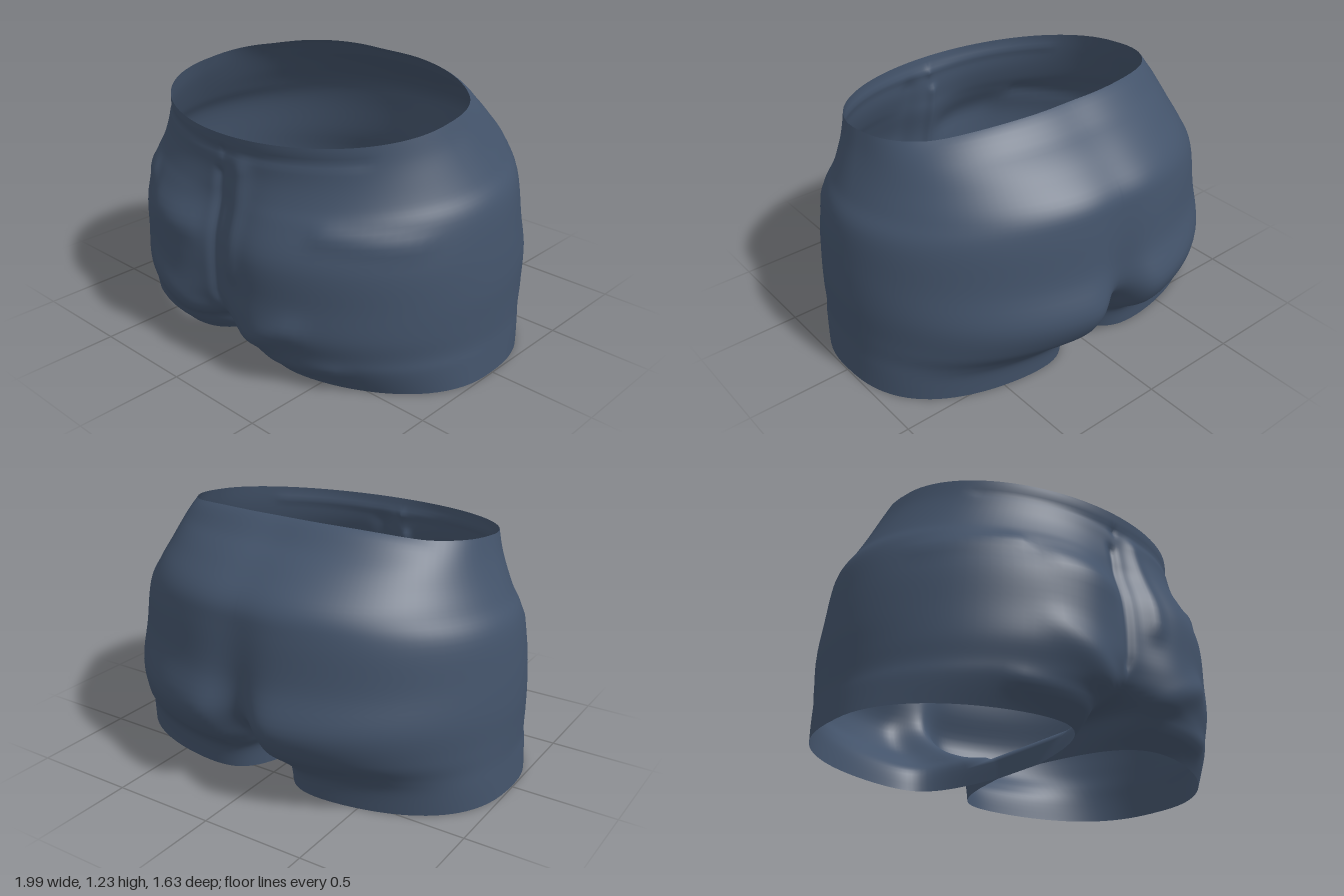
import * as THREE from 'three';
import { mergeGeometries, mergeVertices } from 'three/addons/utils/BufferGeometryUtils.js';

// Body levels: height, half width, centre z, front z, back z, centre-seam front z, centre-seam back z
const LEVELS = [
  [1.155, 0.76, 0.13, 0.69, -0.40, 0.69, -0.39],
  [1.07, 0.79, 0.10, 0.69, -0.52, 0.68, -0.51],
  [0.98, 0.83, 0.07, 0.70, -0.635, 0.68, -0.625],
  [0.88, 0.88, 0.03, 0.73, -0.745, 0.69, -0.73],
  [0.78, 0.935, 0.00, 0.77, -0.775, 0.70, -0.755],
  [0.60, 0.965, 0.00, 0.83, -0.80, 0.74, -0.76],
  [0.42, 0.98, 0.00, 0.83, -0.85, 0.75, -0.74],
  [0.28, 0.98, 0.00, 0.83, -0.785, 0.73, -0.60],
  [0.18, 0.98, 0.00, 0.79, -0.67, 0.64, -0.40],
  [0.11, 0.985, 0.02, 0.75, -0.61, 0.34, -0.18],
  [0.00, 0.995, 0.04, 0.66, -0.59, 0.15, -0.12],
];
const SEGMENTS = LEVELS.length - 1;
const CROTCH = (SEGMENTS - 1) / SEGMENTS;

// Cloth folds on the front: start x,y, end x,y, width, height
const FOLDS = [
  [0.08, 0.10, 0.45, 0.30, 0.06, 0.02],
  [-0.08, 0.14, -0.42, 0.34, 0.07, 0.015],
  [0.10, 0.06, 0.60, 0.10, 0.04, 0.015],
  [-0.12, 0.06, -0.55, 0.10, 0.04, 0.015],
  [0.55, 0.74, 0.85, 0.70, 0.04, 0.018],
  [-0.55, 0.74, -0.85, 0.70, 0.04, 0.018],
  [0.12, 0.92, 0.14, 0.50, 0.05, 0.02],
  [-0.02, 0.88, -0.01, 0.30, 0.025, -0.02],
  [-0.15, 0.62, -0.40, 0.66, 0.07, 0.015],
  [-0.62, 1.03, 0, 0.99, 0.022, -0.008],
  [0, 0.99, 0.62, 1.03, 0.022, -0.008],
];

const mix = THREE.MathUtils.lerp;
const smooth = THREE.MathUtils.smoothstep;

// Smooth curve through the levels
function level(v) {
  const f = v * SEGMENTS, i = Math.min(Math.floor(f), SEGMENTS - 1), t = f - i;
  const row = (k) => LEVELS[Math.max(0, Math.min(SEGMENTS, k))];
  return LEVELS[0].map((_, n) => {
    const a = row(i - 1)[n], b = row(i)[n], c = row(i + 1)[n], d = row(i + 2)[n];
    return b + 0.5 * t * (c - a + t * (2 * a - 5 * b + 4 * c - d + t * (3 * (b - c) + d - a)));
  });
}

function foldHeight(x, y) {
  let sum = 0;
  for (const [ax, ay, bx, by, width, height] of FOLDS) {
    const dx = bx - ax, dy = by - ay;
    const t = THREE.MathUtils.clamp(((x - ax) * dx + (y - ay) * dy) / (dx * dx + dy * dy), 0, 1);
    const d = Math.hypot(x - ax - t * dx, y - ay - t * dy) / width;
    sum += height * Math.exp(-d * d);
  }
  return sum;
}

// One half of the shorts, from the front seam around the hip to the back seam
function outerPoint(u, v, side) {
  const [h, width, mid, front, back, seamFront, seamBack] = level(v);
  const angle = Math.PI * u - 0.35 * Math.sin(2 * Math.PI * u);
  const c = Math.cos(angle);
  const isFront = c > 0;
  const reach = isFront ? front : back;
  const seam = isFront ? seamFront : seamBack;

  // The back is squarer at the waist and at the leg hems
  const low = smooth(v, 0.6, 0.95);
  const squareX = mix(1, isFront ? 0.95 : 0.75, low);
  const squareZ = isFront ? mix(1, 0.95, low) : mix(0.72, 1, smooth(v, 0, 0.35)) - 0.25 * low;
  const gap = 0.002 * smooth(v, CROTCH, 1);
  const x = Math.max(width * Math.pow(Math.max(0, Math.sin(angle)), squareX), gap);

  // The centre seam pulls in, sharpening towards the crotch
  const spread = isFront ? mix(0.2, 0.1, low) : mix(0.13, 0.07, smooth(v, 0.4, 0.95));
  const pull = Math.exp(-Math.pow(x / spread, mix(2, 1, low)));
  let z = mid + (reach - mid) * Math.pow(Math.abs(c), squareZ) + (seam - reach) * pull;

  // The waist rises towards the back
  const lift = -0.12 * z * smooth(h, 0.55, 1.12) + 0.03 * smooth(-z, 0.2, 0.42) * smooth(h, 1.07, 1.155);
  const y = Math.max(0, h + lift);
  if (isFront) z += foldHeight(side * x, y) * Math.min(1, 2 * c);
  return [side * x, y, z];
}

// Short inner thigh wall closing each leg below the crotch
function innerPoint(u, v, side) {
  const w = mix(CROTCH, 1, v);
  const a = outerPoint(1, w, side), b = outerPoint(0, w, side);
  return a.map((n, i) => mix(n, b[i], u));
}

function sheet(nu, nv, side, point) {
  const positions = [], index = [];
  for (let j = 0; j <= nv; j++) {
    for (let i = 0; i <= nu; i++) {
      positions.push(...point(i / nu, j / nv, side));
      if (i === nu || j === nv) continue;
      const a = j * (nu + 1) + i, b = a + nu + 1;
      if (side > 0) index.push(a, b, a + 1, a + 1, b, b + 1);
      else index.push(a, a + 1, b, a + 1, b + 1, b);
    }
  }
  const geometry = new THREE.BufferGeometry();
  geometry.setAttribute('position', new THREE.Float32BufferAttribute(positions, 3));
  geometry.setIndex(index);
  return geometry;
}

export function createModel() {
  const group = new THREE.Group();
  group.name = 'shorts';
  const cloth = new THREE.MeshStandardMaterial({ color: 0x43536a, side: THREE.DoubleSide });
  cloth.name = 'slate blue cloth';

  // Both halves and inner thighs welded into one smooth cloth shell
  const pieces = [];
  for (const side of [1, -1]) {
    pieces.push(sheet(80, SEGMENTS * 5, side, outerPoint));
    pieces.push(sheet(12, 5, side, innerPoint));
  }
  const shell = mergeVertices(mergeGeometries(pieces), 1e-4);
  shell.computeVertexNormals();
  const body = new THREE.Mesh(shell, cloth);
  body.name = 'clothShell';
  group.add(body);
  return group;
}
